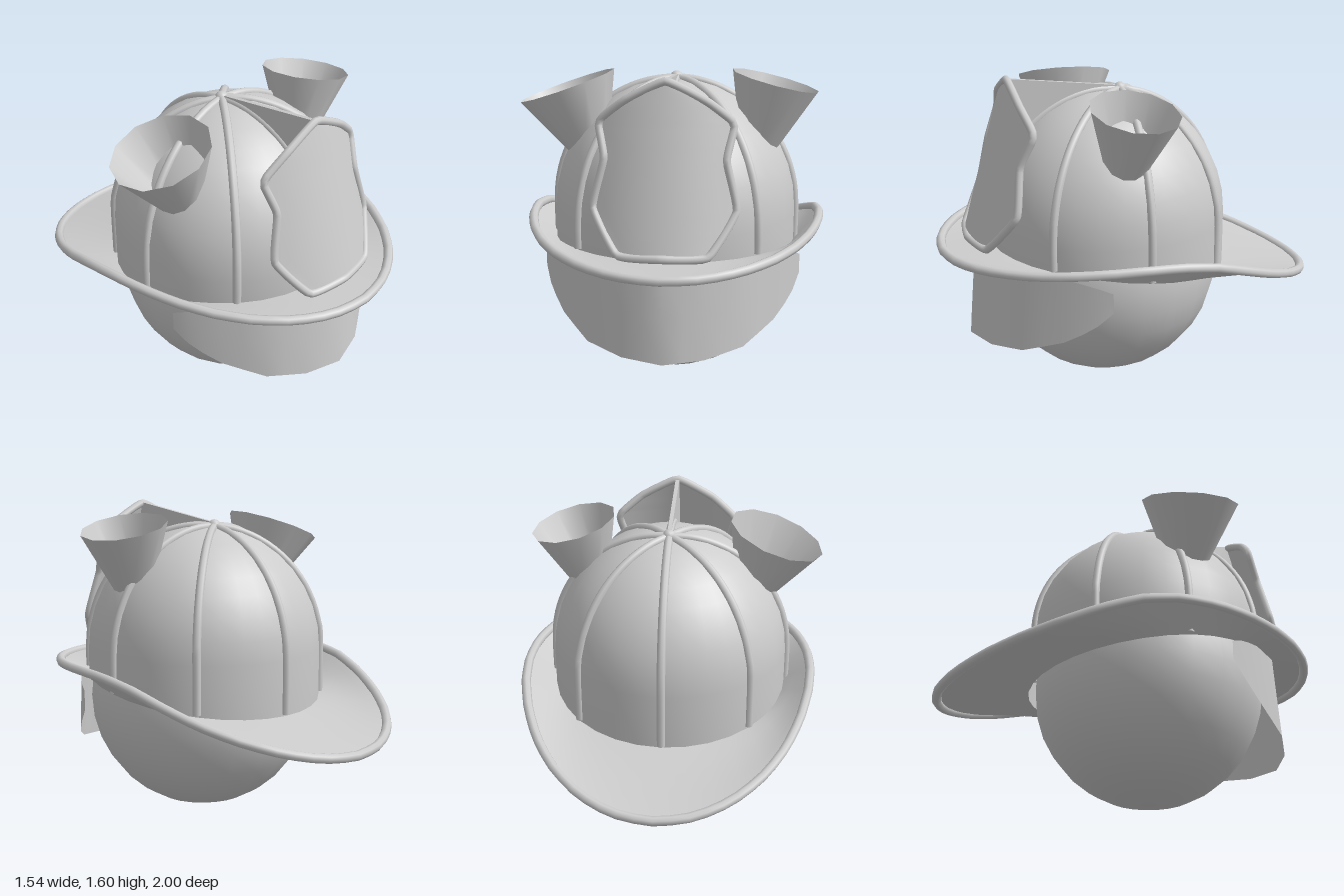
import * as THREE from 'three';
import { mergeVertices } from 'three/addons/utils/BufferGeometryUtils.js';

const V = (x, y, z) => new THREE.Vector3(x, y, z);

// Linear lookup: rows are [key, value, value...] with rising keys
function lookup(rows, key, column = 1) {
  let i = 0;
  while (i < rows.length - 2 && key > rows[i + 1][0]) i++;
  const a = rows[i], b = rows[i + 1];
  const t = THREE.MathUtils.clamp((key - a[0]) / (b[0] - a[0]), 0, 1);
  return a[column] + (b[column] - a[column]) * t;
}

// Smooth surface from fn(u, v) -> Vector3
function surface(fn, nu, nv) {
  const pos = [], index = [];
  for (let j = 0; j <= nv; j++)
    for (let i = 0; i <= nu; i++) pos.push(...fn(i / nu, j / nv).toArray());
  for (let j = 0; j < nv; j++)
    for (let i = 0; i < nu; i++) {
      const a = j * (nu + 1) + i, b = a + nu + 1;
      index.push(a, a + 1, b, a + 1, b + 1, b);
    }
  const g = new THREE.BufferGeometry();
  g.setAttribute('position', new THREE.Float32BufferAttribute(pos, 3));
  g.setIndex(index);
  const merged = mergeVertices(g, 1e-5);
  merged.computeVertexNormals();
  return merged;
}

const CZ = 0.11, R = 0.61, BASE = 0.85, RISE = 0.64;
const domeY = (x, z) =>
  BASE + RISE * Math.sqrt(Math.max(0, 1 - (x * x + (z - CZ) ** 2) / (R * R)));

// Brim heights along z, at the head and at the outer edge
const innerRows = [[-0.5, 0.57], [0.1, 0.67], [0.45, 0.72], [0.72, 0.74]];
const outerRows = [[-0.98, 0.46], [-0.8, 0.53], [-0.61, 0.6], [-0.26, 0.735],
  [-0.1, 0.775], [0.1, 0.793], [0.4, 0.783], [0.8, 0.757], [0.98, 0.742]];
const innerEdge = a => {
  const z = CZ + R * Math.cos(a);
  return V(R * Math.sin(a), lookup(innerRows, z), z);
};
const outerEdge = a => {
  const z = 0.975 * Math.cos(a);
  return V(0.74 * Math.sin(a), lookup(outerRows, z), z);
};

// Shield half width and its bowed, leaning face
const shieldRows = [[0.8, 0.21], [0.99, 0.335], [1.22, 0.285], [1.36, 0.315],
  [1.4, 0.3], [1.49, 0.19], [1.585, 0.002]];
const shieldZ = (x, y) => 0.85 - (y - 0.79) * 0.29 - x * x * 0.95;
const shieldPoint = (x, y) => V(x, y, shieldZ(x, y));

// Face shield columns: x, z, bottom y, top y
const visorRows = [[0, 0.855, 0.275, 0.73], [0.2, 0.8, 0.285, 0.73], [0.38, 0.69, 0.315, 0.725],
  [0.52, 0.52, 0.39, 0.715], [0.6, 0.4, 0.47, 0.69], [0.64, 0.31, 0.56, 0.66]];

export function createModel() {
  const group = new THREE.Group();
  const grey = new THREE.MeshStandardMaterial({ color: 0xcccccc, side: THREE.DoubleSide });
  grey.name = 'light grey';
  const add = (name, geometry) => {
    const mesh = new THREE.Mesh(geometry, grey);
    mesh.name = name;
    group.add(mesh);
    return mesh;
  };
  const tube = (name, points, radius, segments, closed = false) =>
    add(name, new THREE.TubeGeometry(
      new THREE.CatmullRomCurve3(points, closed, 'catmullrom', closed ? 0.2 : 0.5),
      segments, radius, 8, closed));

  // Head
  const head = add('head', new THREE.SphereGeometry(0.59, 22, 16));
  head.scale.y = 0.6 / 0.59;
  head.position.set(0, 0.6, 0.125);

  // Helmet dome, its skirt following the brim
  add('dome', surface((u, v) => {
    const a = u * Math.PI * 2;
    const edge = innerEdge(a);
    if (v === 0) return edge;
    const e = (v - 0.1) / 0.9 * Math.PI / 2;
    const r = R * Math.cos(e);
    return V(r * Math.sin(a), BASE + RISE * Math.sin(e), CZ + r * Math.cos(a));
  }, 32, 10));

  // Brim with a rolled edge
  add('brim', surface((u, v) => {
    const a = u * Math.PI * 2;
    return outerEdge(a).lerp(innerEdge(a), v);
  }, 32, 4));
  const rim = [];
  for (let i = 0; i < 32; i++) rim.push(outerEdge(i / 32 * Math.PI * 2));
  tube('brimEdge', rim, 0.024, 64, true);

  // Ribs running from the crown to the brim
  const crown = [0, 0.03];
  const ribEnds = [[0, -0.5], [0, 0.715]];
  for (const s of [-1, 1]) ribEnds.push([s * 0.43, -0.32], [s * 0.61, 0.1], [s * 0.435, 0.54]);
  for (const [ex, ez] of ribEnds) {
    const points = [];
    for (let i = 0; i <= 8; i++) {
      const t = Math.sin(i / 8 * Math.PI / 2);
      const x = ex * t, z = crown[1] + (ez - crown[1]) * t;
      points.push(V(x, domeY(x, z), z));
    }
    points.push(V(ex, lookup(innerRows, ez) + 0.01, ez));
    tube('rib', points, 0.021, 24);
  }
  add('crownKnob', new THREE.SphereGeometry(0.035, 10, 8)).position.set(0, 1.485, crown[1]);

  // Front shield plate and its border
  add('frontShield', surface((u, v) => {
    const k = Math.min(v * 6, 5.9999), i = Math.floor(k);
    const y = shieldRows[i][0] + (shieldRows[i + 1][0] - shieldRows[i][0]) * (k - i);
    return shieldPoint((u * 2 - 1) * lookup(shieldRows, y), y);
  }, 10, 12));
  const border = [];
  for (const [y, w] of shieldRows) border.push(shieldPoint(w, y));
  border.pop();
  border.push(shieldPoint(0, 1.582));
  for (const [y, w] of shieldRows.slice(0, -1).reverse()) border.push(shieldPoint(-w, y));
  border.push(shieldPoint(0, 0.8));
  tube('shieldBorder', border, 0.02, 96, true);

  // Upright fin joining the shield to the crown
  const finShape = new THREE.Shape();
  finShape.moveTo(-0.0, 1.5);
  finShape.lineTo(-0.61, 1.585);
  finShape.lineTo(-0.83, 0.8);
  finShape.lineTo(-0.6, 0.8);
  finShape.lineTo(-0.4, 1.25);
  finShape.lineTo(-0.0, 1.42);
  const fin = new THREE.ExtrudeGeometry(finShape, { depth: 0.02, bevelEnabled: false });
  fin.translate(0, 0, -0.01);
  fin.rotateY(Math.PI / 2);
  add('shieldFin', fin);

  // Curved face shield under the brim
  add('visor', surface((u, v) => {
    const s = u * 2 - 1;
    const x = 0.64 * Math.sin(s * Math.PI / 2), ax = Math.abs(x);
    const z = lookup(visorRows, ax, 1);
    const low = lookup(visorRows, ax, 2), high = lookup(visorRows, ax, 3);
    return V(x, low + (high - low) * v, z - 0.08 * v * (z - 0.31));
  }, 20, 2));

  // Open funnels on both sides, slightly unequal
  const funnels = [
    ['rightFunnel', V(-0.43, 1.15, 0.17), V(-0.54, 1.46, 0.15), 0.1, 0.25],
    ['leftFunnel', V(0.42, 1.18, 0.17), V(0.5, 1.5, 0.145), 0.095, 0.222],
  ];
  for (const [name, low, high, r0, r1] of funnels) {
    const axis = high.clone().sub(low);
    const mesh = add(name, new THREE.CylinderGeometry(r1, r0, axis.length(), 11, 1, true));
    mesh.position.copy(low).add(high).multiplyScalar(0.5);
    mesh.quaternion.setFromUnitVectors(V(0, 1, 0), axis.normalize());
  }

  return group;
}
